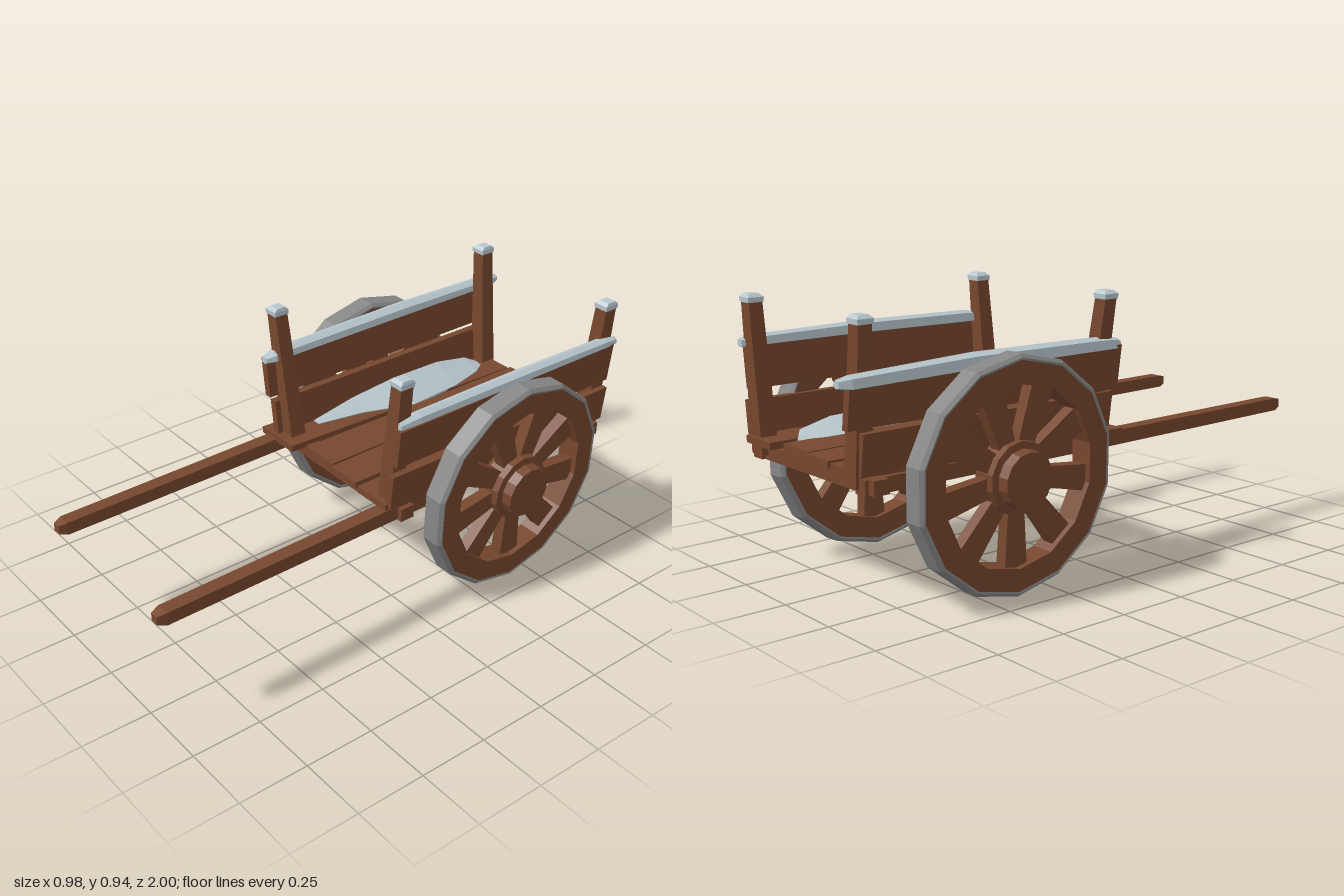
import * as THREE from 'three';

const material = (name, color) => {
  const m = new THREE.MeshStandardMaterial({ color });
  m.name = name;
  return m;
};

const SQUARE = [[-0.5, -0.5], [0.5, -0.5], [0.5, 0.5], [-0.5, 0.5]];
const LUMP = [[-0.5, -0.35], [0.1, -0.5], [0.5, -0.2], [0.42, 0.25], [0.05, 0.5], [-0.4, 0.3]];

// One cross-section: centre, width, height; lean shears it sideways.
function section(axis, [x, y, z, w, h], shape = SQUARE, lean = 0) {
  return shape.map(([p, q]) => {
    if (axis === 'z') return [x + w * p + lean * h * q, y + h * q, z];
    if (axis === 'y') return [x + w * p, y, z + h * q];
    return [x, y + h * q, z + w * p];
  });
}

// Closed faceted solid through a row of equal-sized rings.
function loft(rings) {
  const tris = [];
  const n = rings[0].length;
  for (let i = 0; i + 1 < rings.length; i++) {
    for (let j = 0; j < n; j++) {
      const k = (j + 1) % n;
      const a = rings[i][j], b = rings[i][k], c = rings[i + 1][k], d = rings[i + 1][j];
      tris.push([a, b, c], [a, c, d]);
    }
  }
  const last = rings[rings.length - 1];
  for (let j = 1; j + 1 < n; j++) {
    tris.push([rings[0][0], rings[0][j + 1], rings[0][j]], [last[0], last[j], last[j + 1]]);
  }
  // Turn the faces outward
  const V = (p) => new THREE.Vector3(...p);
  const centre = V(rings[0][0]);
  const volume = tris.reduce((s, [a, b, c]) =>
    s + V(a).sub(centre).dot(V(b).sub(centre).cross(V(c).sub(centre))), 0);
  if (volume < 0) tris.forEach((t) => t.reverse());
  const g = new THREE.BufferGeometry();
  g.setAttribute('position', new THREE.Float32BufferAttribute(tris.flat(2), 3));
  g.computeVertexNormals();
  return g;
}

// Faceted lathe around the x axis
function turned(profile, sides) {
  const points = profile.map(([r, x]) => new THREE.Vector2(r, x));
  const g = new THREE.LatheGeometry(points, sides, Math.PI / sides).rotateZ(-Math.PI / 2).toNonIndexed();
  g.computeVertexNormals();
  return g;
}

export function createModel() {
  const wood = material('brown wood', 0x77472e);
  const iron = material('grey iron', 0x868686);
  const snow = material('pale snow', 0xb9c8ce);

  const cart = new THREE.Group();
  cart.name = 'cart';
  const add = (name, geometry, mat, parent = cart) => {
    const mesh = new THREE.Mesh(geometry, mat);
    mesh.name = name;
    parent.add(mesh);
    return mesh;
  };
  const beam = (name, axis, rings, mat = wood, shape = SQUARE, lean = 0) =>
    add(name, loft(rings.map((r) => section(axis, r, shape, lean))), mat);

  // Floor planks, slightly skewed
  [
    [-0.21, 0.16, -0.9, -0.26, 0.18, 0.12, 0.459],
    [-0.055, 0.13, -0.905, -0.055, 0.15, 0.085, 0.464],
    [0.09, 0.15, -0.89, 0.1, 0.135, 0.1, 0.466],
    [0.265, 0.15, -0.925, 0.265, 0.15, 0.11, 0.468],
  ].forEach(([xb, wb, zb, xf, wf, zf, y]) =>
    beam('floorPlank', 'z', [[xb, y, zb, wb, 0.024], [xf, y, zf, wf, 0.024]]));

  // Long shafts running under the floor, with tapered tips
  [[-0.29, -0.293, -0.282], [0.315, 0.316, 0.329]].forEach(([xb, xm, xf]) =>
    beam('shaft', 'z', [
      [xb, 0.428, -0.9, 0.052, 0.05], [xm, 0.43, 0.1, 0.052, 0.05],
      [xf, 0.43, 0.97, 0.05, 0.046], [xf, 0.43, 1, 0.03, 0.03],
    ]));

  // Cross beams and axle
  [-0.86, 0.03].forEach((z) =>
    beam('crossBeam', 'x', [[-0.345, 0.431, z, 0.055, 0.048], [0.36, 0.426, z, 0.055, 0.048]]));
  beam('axle', 'x', [[-0.37, 0.425, -0.41, 0.07, 0.068], [0.37, 0.41, -0.415, 0.07, 0.068]]);

  // Leaning corner posts with snow caps
  [
    [-0.24, -0.33, 0.055], [-0.25, -0.282, -0.88],
    [0.293, 0.348, 0.055], [0.298, 0.35, -0.88],
  ].forEach(([x0, x1, z]) => {
    beam('post', 'y', [[x0, 0.42, z, 0.066, 0.062], [x1, 0.92, z, 0.05, 0.05]]);
    beam('postSnow', 'y', [
      [x1, 0.915, z, 0.056, 0.056], [x1, 0.932, z, 0.058, 0.058], [x1 + 0.005, 0.943, z, 0.04, 0.036],
    ], snow);
  });

  // Side boards on the outside of the posts
  const T = 0.028;
  beam('leftLowerBoard', 'z', [[0.346, 0.525, -0.91, T, 0.135], [0.346, 0.53, 0.1, T, 0.13]], wood, SQUARE, 0.11);
  beam('leftUpperBoard', 'z', [[0.365, 0.705, -0.9, T, 0.15], [0.365, 0.7, 0.09, T, 0.14]], wood, SQUARE, 0.11);
  beam('rightLowerBoard', 'z', [[-0.292, 0.525, -0.9, T, 0.135], [-0.292, 0.53, 0.105, T, 0.13]], wood, SQUARE, -0.14);
  beam('rightUpperBoard', 'z', [[-0.325, 0.68, -0.965, T, 0.135], [-0.318, 0.685, 0.12, T, 0.14]], wood, SQUARE, -0.14);

  // Snow lying along the top boards
  beam('leftRailSnow', 'z', [
    [0.368, 0.782, -0.92, 0.03, 0.03], [0.365, 0.786, -0.86, 0.05, 0.04], [0.366, 0.79, -0.45, 0.056, 0.046],
    [0.362, 0.785, 0.0, 0.05, 0.045], [0.362, 0.778, 0.08, 0.032, 0.03],
  ], snow, LUMP);
  beam('rightRailSnow', 'z', [
    [-0.332, 0.757, -1, 0.03, 0.028], [-0.332, 0.757, -0.96, 0.058, 0.045], [-0.322, 0.767, -0.5, 0.066, 0.056],
    [-0.32, 0.763, 0.0, 0.06, 0.05], [-0.318, 0.76, 0.09, 0.056, 0.045], [-0.318, 0.757, 0.125, 0.03, 0.03],
  ], snow, LUMP);

  // Snow drifts against the side boards: z, inner x, outer x, height
  const drift = (name, rows) => add(name, loft(rows.map(([z, xi, xo, h]) => [
    [xi, 0.466, z], [xi, 0.474, z], [xi * 0.5 + xo * 0.5, 0.474 + h * 0.6, z],
    [xo * 0.85 + xi * 0.15, 0.474 + h, z], [xo, 0.47 + h * 0.7, z], [xo, 0.466, z],
  ])), snow);
  drift('rightSnowDrift', [
    [-0.83, -0.21, -0.24, 0.005], [-0.78, -0.18, -0.265, 0.03], [-0.64, -0.145, -0.275, 0.055],
    [-0.42, -0.13, -0.275, 0.06], [-0.23, -0.2, -0.275, 0.035], [-0.05, -0.235, -0.265, 0.005],
  ]);
  drift('leftSnowDrift', [
    [-0.83, 0.155, 0.18, 0.005], [-0.76, 0.135, 0.28, 0.02], [-0.63, 0.135, 0.325, 0.036],
    [-0.46, 0.165, 0.33, 0.038], [-0.34, 0.235, 0.33, 0.028], [-0.19, 0.315, 0.33, 0.005],
  ]);

  // Wheels: wooden rim, iron tyre, nine spokes and a stepped hub
  const rim = turned([[0.298, -0.042], [0.376, -0.042], [0.376, 0.042], [0.298, 0.042], [0.298, -0.042]], 14);
  const tyre = turned([[0.36, -0.038], [0.381, -0.044], [0.392, -0.033], [0.392, 0.033], [0.381, 0.044], [0.36, 0.038]], 14);
  const hub = turned([[0, -0.055], [0.105, -0.055], [0.12, -0.03], [0.12, 0.046], [0.097, 0.05], [0.092, 0.086], [0, 0.086]], 14);
  const spoke = loft([section('y', [0, 0.06, 0, 0.04, 0.06]), section('y', [0, 0.32, 0, 0.045, 0.092])]);
  const wheel = (name, position, turn, tilt) => {
    const group = new THREE.Group();
    group.name = name;
    add('rim', rim, wood, group);
    add('tyre', tyre, iron, group);
    add('hub', hub, wood, group);
    for (let i = 0; i < 9; i++) {
      add('spoke', spoke, wood, group).rotation.x = Math.PI + (i * Math.PI * 2) / 9;
    }
    group.position.set(...position);
    group.rotation.set(0, turn, tilt);
    cart.add(group);
  };
  wheel('leftWheel', [0.4, 0.397, -0.415], 0.03, -0.047);
  wheel('rightWheel', [-0.405, 0.405, -0.41], Math.PI, -0.02);

  return cart;
}
